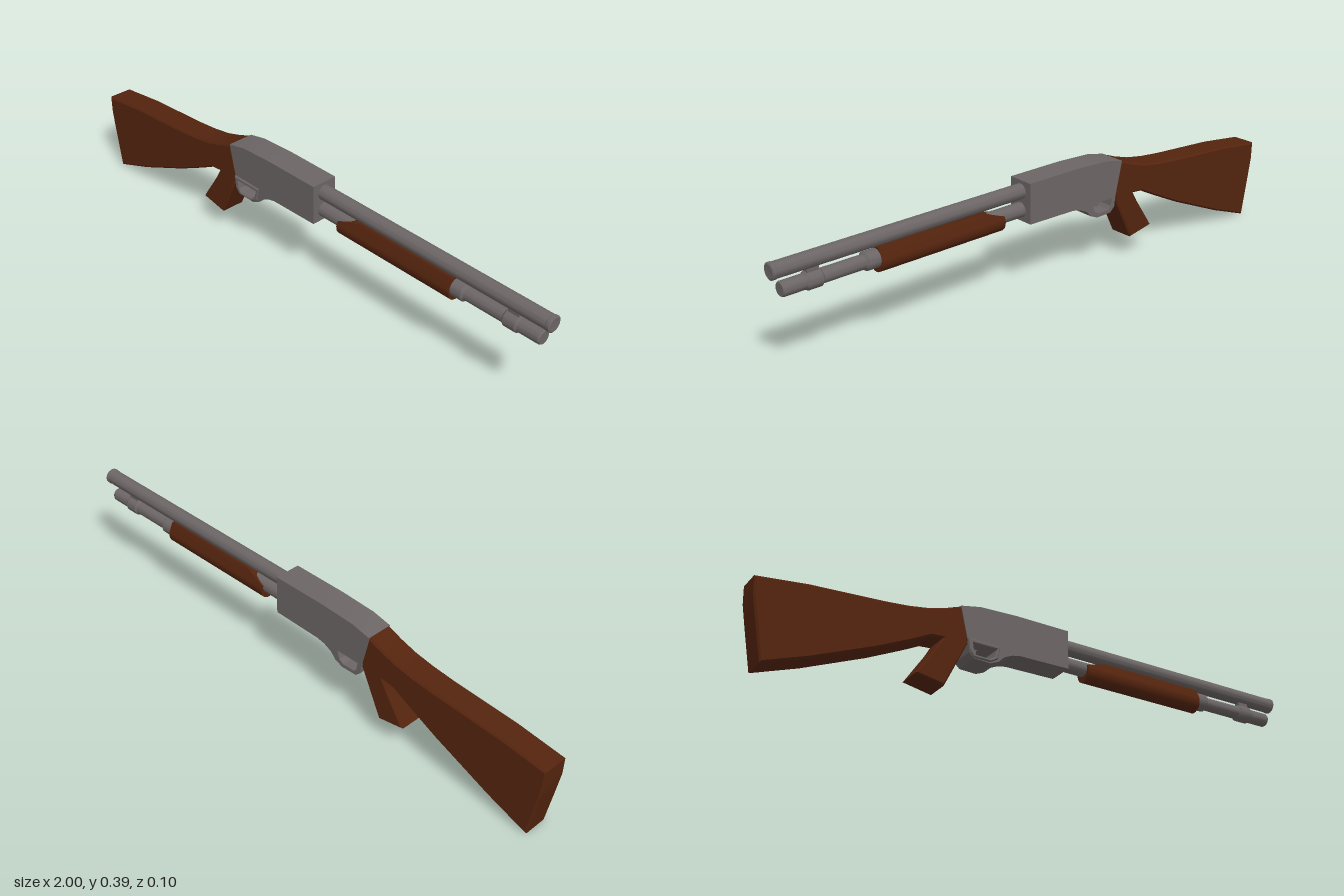
import * as THREE from 'three';
import { toCreasedNormals } from 'three/addons/utils/BufferGeometryUtils.js';

const metal = new THREE.MeshStandardMaterial({ color: 0x6c6565 });
const wood = new THREE.MeshStandardMaterial({ color: 0x54240e });

const V = (pts) => pts.map(([x, y]) => new THREE.Vector2(x, y));

// Side profile extruded across z from z0 to z1, with an optional inset bevel
function slab(name, pts, z0, z1, material, bevel = 0, hole = null) {
  const shape = new THREE.Shape(V(pts));
  if (hole) shape.holes.push(new THREE.Path(V(hole)));
  const geo = new THREE.ExtrudeGeometry(shape, {
    depth: z1 - z0 - 2 * bevel,
    bevelEnabled: bevel > 0, bevelSize: bevel, bevelThickness: bevel,
    bevelOffset: -bevel, bevelSegments: 1,
  });
  geo.translate(0, 0, z0 + bevel);
  const mesh = new THREE.Mesh(toCreasedNormals(geo, 0.5), material);
  mesh.name = name;
  return mesh;
}

// Round part along x, given as [x, radius] stations
function turned(name, stations, y) {
  const geo = new THREE.LatheGeometry(V(stations.map(([x, r]) => [r, x])), 24);
  geo.rotateZ(-Math.PI / 2);
  // the rotation sends lathe +y to +x
  geo.translate(0, y, -0.002);
  const mesh = new THREE.Mesh(toCreasedNormals(geo, 0.5), metal);
  mesh.name = name;
  return mesh;
}

// Pump handle: teardrop section swept along x, upper rear corner cut back
function forend() {
  const section = [];
  for (let i = 0; i <= 18; i++) {
    const a = Math.PI * (-1.17 + (1.34 * i) / 18);
    section.push([0.033 * Math.cos(a), 0.281 + 0.036 * Math.sin(a)]);
  }
  section.push([0.016, 0.326], [-0.016, 0.326]);
  const geo = new THREE.ExtrudeGeometry(new THREE.Shape(V(section)), { depth: 0.47, bevelEnabled: false });
  geo.rotateY(Math.PI / 2);
  geo.translate(0.175, 0, -0.002);
  const p = geo.attributes.position;
  for (let i = 0; i < p.count; i++) {
    if (p.getX(i) < 0.3 && p.getY(i) > 0.303) p.setX(i, 0.175 + (p.getY(i) - 0.303) * 3.6);
  }
  geo.computeVertexNormals();
  const mesh = new THREE.Mesh(toCreasedNormals(geo, 0.5), wood);
  mesh.name = 'forend';
  return mesh;
}

export function createModel() {
  const group = new THREE.Group();

  // Shoulder stock
  group.add(slab('stock', [
    [-1, 0.275], [-0.998, 0.215], [-0.985, 0.14], [-0.96, 0.004], [-0.81, 0.058],
    [-0.6, 0.147], [-0.48, 0.205], [-0.42, 0.236], [-0.375, 0.24], [-0.3, 0.25],
    [-0.29, 0.255], [-0.318, 0.37], [-0.37, 0.35], [-0.43, 0.332], [-0.5, 0.32],
    [-0.58, 0.312], [-0.83, 0.296],
  ], -0.048, 0.044, wood, 0.006));

  // Angled grip
  group.add(slab('grip', [
    [-0.375, 0.25], [-0.4, 0.205], [-0.47, 0.099], [-0.371, 0.08], [-0.292, 0.245], [-0.3, 0.28], [-0.36, 0.28],
  ], -0.048, 0.044, wood, 0.005));

  // Receiver
  group.add(slab('receiver', [
    [-0.32, 0.37], [-0.292, 0.25], [-0.1, 0.25], [0.085, 0.253], [0.085, 0.391],
    [-0.12, 0.391], [-0.25, 0.385],
  ], -0.049, 0.044, metal));

  // Trigger guard with its opening, and a raised rim on the left side
  const opening = [
    [-0.276, 0.249], [-0.272, 0.222], [-0.262, 0.21], [-0.215, 0.209], [-0.197, 0.22], [-0.188, 0.249],
  ];
  group.add(slab('triggerGuard', [
    [-0.292, 0.252], [-0.288, 0.215], [-0.27, 0.198], [-0.21, 0.196], [-0.18, 0.209],
    [-0.16, 0.23], [-0.13, 0.244], [-0.09, 0.252],
  ], -0.049, 0.044, metal, 0, opening));
  group.add(slab('guardRim', [
    [-0.294, 0.262], [-0.29, 0.222], [-0.272, 0.2], [-0.21, 0.2], [-0.184, 0.216], [-0.176, 0.262],
  ], 0.04, 0.05, metal, 0.003, opening));

  // Trigger
  group.add(slab('trigger', [
    [-0.258, 0.255], [-0.256, 0.23], [-0.242, 0.214], [-0.237, 0.216], [-0.245, 0.234], [-0.238, 0.255],
  ], -0.012, 0.008, metal));

  // Barrel with a bevelled muzzle
  group.add(turned('barrel', [
    [0.05, 0], [0.05, 0.0255], [0.985, 0.0255], [0.987, 0.027], [0.997, 0.027], [1, 0.022], [0.998, 0],
  ], 0.354));

  // Magazine tube with collar bands
  group.add(turned('magazineTube', [
    [0.05, 0], [0.05, 0.025], [0.645, 0.025], [0.645, 0.03], [0.685, 0.03], [0.692, 0.023],
    [0.835, 0.023], [0.842, 0.029], [0.885, 0.029], [0.892, 0.024], [0.965, 0.024], [0.97, 0.021], [0.97, 0],
  ], 0.291));
  // Lug joining tube and barrel at the front band
  group.add(slab('barrelLug', [[0.845, 0.31], [0.885, 0.31], [0.885, 0.335], [0.845, 0.335]], -0.012, 0.008, metal));

  group.add(forend());
  return group;
}
